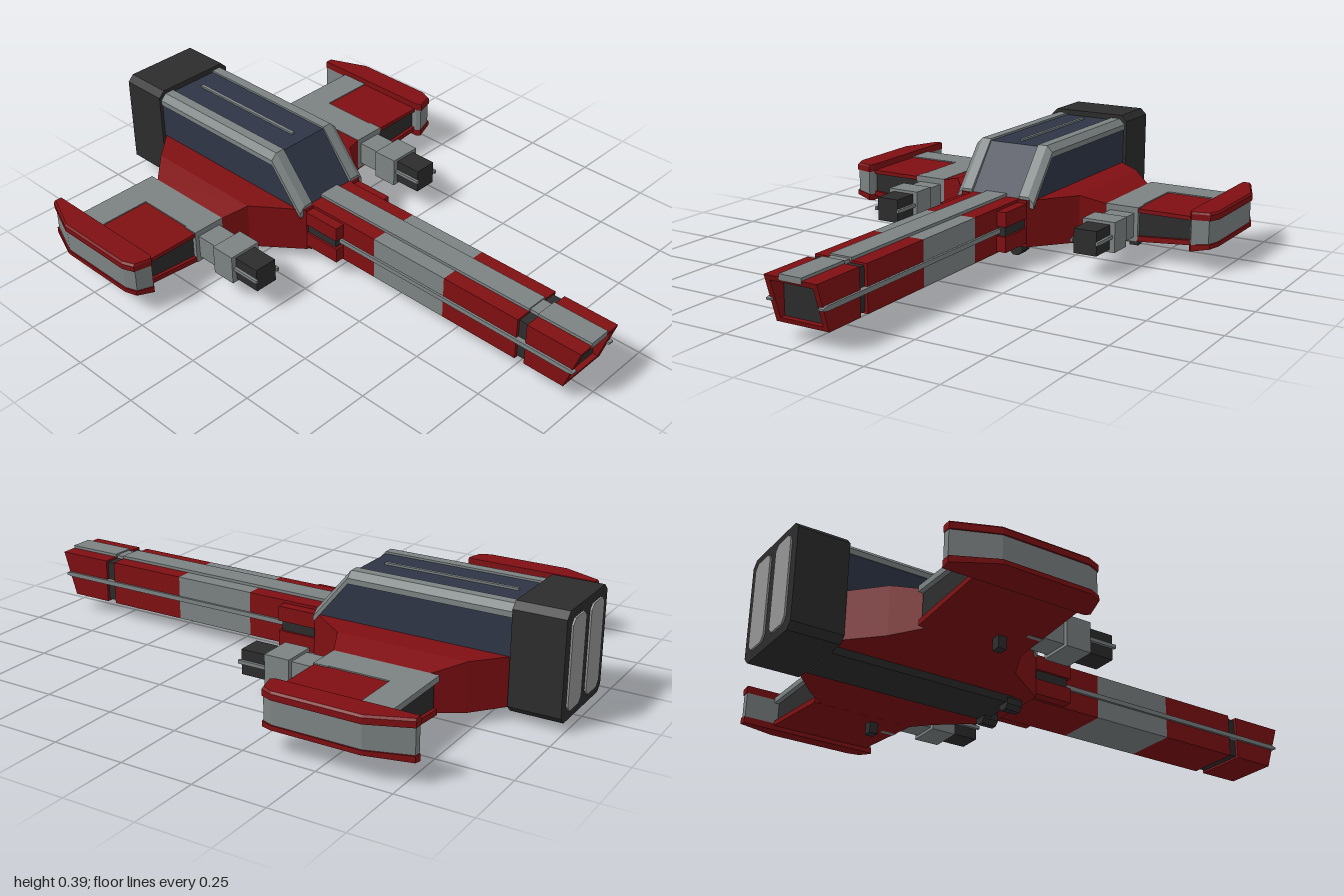
import * as THREE from 'three';

const paint = (color) => new THREE.MeshStandardMaterial({ color, flatShading: true });
const RED = paint(0x7f0f12), GREY = paint(0x7c8282), DARK = paint(0x2c2c2c);
const BLUE = paint(0x2e3546), PALE = paint(0x959595);

export function createModel() {
  const model = new THREE.Group();

  const add = (name, mat, geo) => {
    const mesh = new THREE.Mesh(geo, mat);
    mesh.name = name;
    model.add(mesh);
    return mesh;
  };

  // Solid through matching convex cross-sections, closed at both ends
  const loft = (name, mat, sections) => {
    const n = sections[0].length, last = sections.length - 1, tris = [];
    for (let i = 0; i < last; i++) {
      for (let j = 0; j < n; j++) {
        const k = (j + 1) % n, A = sections[i], B = sections[i + 1];
        tris.push([A[j], A[k], B[k]], [A[j], B[k], B[j]]);
      }
    }
    for (let j = 1; j < n - 1; j++) {
      tris.push([sections[0][0], sections[0][j + 1], sections[0][j]]);
      tris.push([sections[last][0], sections[last][j], sections[last][j + 1]]);
    }
    // Signed volume tells whether the faces point outwards
    let volume = 0;
    for (const [a, b, c] of tris) {
      volume += new THREE.Vector3(...a).dot(new THREE.Vector3(...b).cross(new THREE.Vector3(...c)));
    }
    if (volume < 0) tris.forEach((t) => t.reverse());
    const geo = new THREE.BufferGeometry();
    geo.setAttribute('position', new THREE.Float32BufferAttribute(tris.flat(2), 3));
    geo.computeVertexNormals();
    return add(name, mat, geo);
  };

  const box = (name, mat, x0, x1, y0, y1, z0, z1) => {
    const geo = new THREE.BoxGeometry(Math.abs(x1 - x0), y1 - y0, z1 - z0);
    geo.translate((x0 + x1) / 2, (y0 + y1) / 2, (z0 + z1) / 2);
    return add(name, mat, geo);
  };

  // Rectangle with cut corners, facing z
  const cutRect = (x0, x1, y0, y1, c, z) => [
    [x0 + c, y0, z], [x1 - c, y0, z], [x1, y0 + c, z], [x1, y1 - c, z],
    [x1 - c, y1, z], [x0 + c, y1, z], [x0, y1 - c, z], [x0, y0 + c, z],
  ];
  // Upright rectangle at one x
  const rib = (x, y0, y1, z0, z1) => [[x, y0, z0], [x, y1, z0], [x, y1, z1], [x, y0, z1]];

  // Hull: wide body tapering to the wing roots
  const hull = [[0.13, 0.045, 0.21, -0.83, -0.11], [0.25, 0.042, 0.21, -0.725, -0.27], [0.34, 0.056, 0.183, -0.64, -0.31]];
  loft('hull', RED, [
    ...[...hull].reverse().map(([x, ...r]) => rib(-x, ...r)),
    ...hull.map(([x, ...r]) => rib(x, ...r)),
  ]);

  // Cabin: dark glass block with a sloped front
  const cabin = (x, top) => [[x, 0.2, -0.83], [x, top, -0.83], [x, top, -0.25], [x, 0.21, -0.125], [x, 0.2, -0.12]];
  loft('cabin', BLUE, [cabin(-0.148, 0.35), cabin(-0.125, 0.37), cabin(0.125, 0.37), cabin(0.148, 0.35)]);
  box('roofStrip', GREY, -0.006, 0.006, 0.365, 0.377, -0.77, -0.3);

  // Engine block with two exhaust panels
  loft('engine', DARK, [cutRect(-0.16, 0.16, 0.03, 0.39, 0.022, -0.82), cutRect(-0.16, 0.16, 0.03, 0.39, 0.022, -0.994)]);

  // Nose beam in painted lengths
  const lengths = [[RED, -0.13, 0.17], [GREY, 0.17, 0.47], [RED, 0.47, 0.765], [RED, 0.8, 0.925]];
  lengths.forEach(([mat, z0, z1]) => box('noseBeam', mat, -0.095, 0.095, 0.055, 0.21, z0, z1));
  box('noseRing', DARK, -0.085, 0.085, 0.062, 0.203, 0.765, 0.8);
  box('noseTopStrip', GREY, -0.04, 0.04, 0.2, 0.22, -0.13, 0.765);
  box('noseTopStrip', GREY, -0.033, 0.033, 0.195, 0.215, 0.765, 0.8);
  box('noseTopStrip', GREY, -0.04, 0.04, 0.2, 0.22, 0.8, 1.0);

  // Hollow nose tip, its mouth leaning forward at the top
  const mouthZ = (y) => 0.95 + 0.05 * (y - 0.055) / 0.155;
  const mouthWall = (x0, x1, y0, y1) => {
    const side = (x) => [[x, y0, 0.925], [x, y1, 0.925], [x, y1, mouthZ(y1)], [x, y0, mouthZ(y0)]];
    loft('noseMouth', RED, [side(x0), side(x1)]);
  };
  mouthWall(-0.095, 0.095, 0.055, 0.07);
  mouthWall(-0.095, 0.095, 0.193, 0.21);
  mouthWall(-0.095, -0.077, 0.07, 0.193);
  mouthWall(0.077, 0.095, 0.07, 0.193);
  box('noseIntake', DARK, -0.077, 0.077, 0.07, 0.193, 0.92, 0.935);

  // Belly keel
  const keel = (z) => [[-0.1, 0.06, z], [-0.085, 0.024, z], [0.085, 0.024, z], [0.1, 0.06, z]];
  loft('keel', DARK, [keel(-0.82), keel(-0.17)]);

  for (const s of [-1, 1]) {
    // Grey cabin edge, running down the sloped front
    const edge = [[0.095, -0.02], [0.095, 0.005], [0.13, 0.005], [0.152, -0.016], [0.152, -0.035]];
    const path = [[-0.825, 0.372], [-0.248, 0.372], [-0.118, 0.215]];
    loft('cabinEdge', GREY, path.map(([z, y]) => edge.map(([x, dy]) => [s * x, y + dy, z])));

    // Exhaust panel
    const [e0, e1] = s > 0 ? [0.02, 0.125] : [-0.125, -0.02];
    loft('exhaustPanel', PALE, [cutRect(e0, e1, 0.06, 0.36, 0.018, -0.98), cutRect(e0, e1, 0.06, 0.36, 0.018, -1)]);

    // Nose side rail with a pointed end, and cheek blocks beside the hull
    const rail = (z, h) => [[s * 0.085, 0.131 - h, z], [s * 0.103, 0.131 - h, z], [s * 0.103, 0.131 + h, z], [s * 0.085, 0.131 + h, z]];
    loft('noseRail', GREY, [rail(-0.1, 0.008), rail(0.965, 0.008), rail(0.985, 0.003)]);
    box('cheek', RED, s * 0.09, s * 0.13, 0.148, 0.2, -0.15, 0.03);
    box('cheek', RED, s * 0.09, s * 0.13, 0.06, 0.114, -0.15, 0.03);
    box('cheekCore', DARK, s * 0.09, s * 0.122, 0.114, 0.148, -0.15, 0.02);

    // Belly pod
    const pod = add('bellyPod', DARK, new THREE.CylinderGeometry(0.027, 0.027, 0.055, 8).rotateX(Math.PI / 2).rotateZ(Math.PI / 8));
    pod.position.set(s * 0.07, 0.026, -0.168);

    // Wing: red skins around a recessed dark core, with a grey top border
    const wing = (name, mat, a, b, z0, z1) => loft(name, mat, [rib(s * 0.335, ...a, z0, z1), rib(s * 0.66, ...b, z0, z1)]);
    wing('wingBottom', RED, [0.055, 0.075], [0.083, 0.1], -0.67, -0.31);
    wing('wingCore', DARK, [0.07, 0.17], [0.095, 0.17], -0.658, -0.322);
    wing('wingTop', RED, [0.168, 0.182], [0.168, 0.182], -0.66, -0.31);
    box('wingRearBorder', GREY, s * 0.335, s * 0.65, 0.166, 0.186, -0.675, -0.57);
    box('wingRootBorder', GREY, s * 0.335, s * 0.45, 0.166, 0.186, -0.57, -0.325);

    // Wing tip: grey band between red plates
    const plan = [[0.65, -0.78], [0.68, -0.78], [0.738, -0.64], [0.738, -0.34], [0.722, -0.3], [0.66, -0.285], [0.65, -0.3]];
    const slice = (y, slope = 0, inset = 0) => plan.map(([x, z]) => [
      s * (x > 0.67 ? x - inset : x), y + slope * (x - 0.65), -0.53 + (z + 0.53) * (1 - inset * 2),
    ]);
    loft('tipTop', RED, [slice(0.178), slice(0.198), slice(0.205, 0, 0.006)]);
    loft('tipBand', GREY, [slice(0.09, 0.1, 0.005), slice(0.178, 0, 0.005)]);
    loft('tipBottom', RED, [slice(0.066, 0.2), slice(0.09, 0.1)]);

    // Gun: mount, neck, housing, hollow muzzle
    const g = s * 0.395;
    const gun = (name, mat, w, y0, y1, z0, z1) => box(name, mat, g - w, g + w, y0, y1, z0, z1);
    gun('gunMount', GREY, 0.06, 0.064, 0.186, -0.36, -0.308);
    gun('gunNeck', GREY, 0.045, 0.08, 0.165, -0.32, -0.22);
    gun('gunHousing', GREY, 0.06, 0.07, 0.175, -0.22, -0.13);
    gun('gunMuzzle', DARK, 0.042, 0.08, 0.165, -0.14, -0.032);
    gun('gunFoot', DARK, 0.016, 0.02, 0.075, -0.44, -0.41);
    for (const t of [-1, 1]) {
      box('gunPin', GREY, g + t * 0.042, g + t * 0.052, 0.118, 0.13, -0.14, -0.025);
    }
  }

  return model;
}
